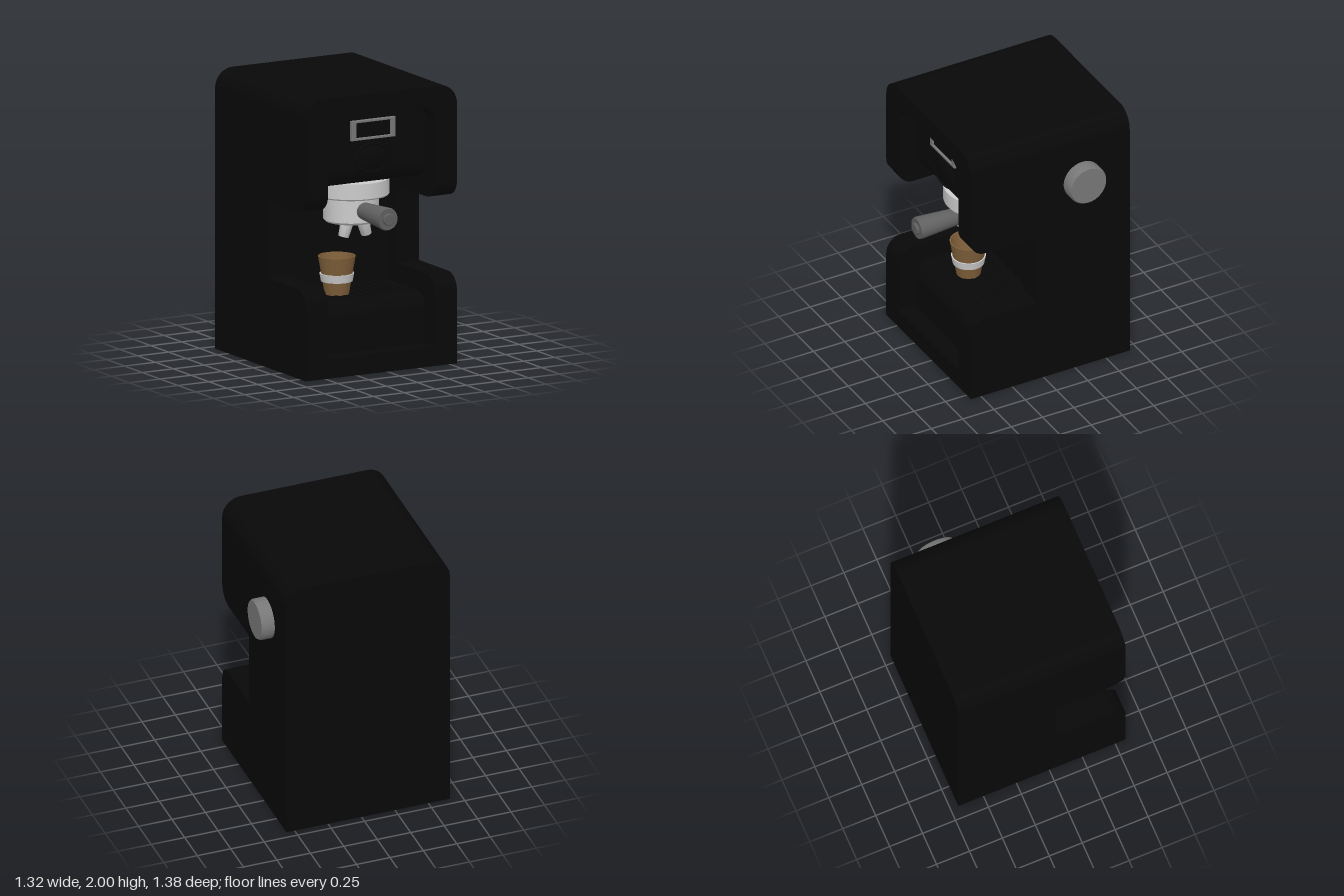
import * as THREE from 'three';
import { toCreasedNormals } from 'three/addons/utils/BufferGeometryUtils.js';
import { RoundedBoxGeometry } from 'three/addons/geometries/RoundedBoxGeometry.js';

const mat = (color, side = THREE.FrontSide) => new THREE.MeshStandardMaterial({ color, side });
const black = mat(0x080808);
const steel = mat(0xcccccc);
const grey = mat(0x777777);
const darkGrey = mat(0x606060);
const brown = mat(0x80603a, THREE.DoubleSide);

const BACK = -0.69, FRONT = 0.58, PANEL = 0.45;
const INNER = 0.43, OUTER = 0.61, TOP = 2, TOP_R = 0.14;

function part(parent, name, geometry, material, x = 0, y = 0, z = 0) {
  const mesh = new THREE.Mesh(geometry, material);
  mesh.name = name;
  mesh.position.set(x, y, z);
  parent.add(mesh);
  return mesh;
}

// Smooth turned part from [radius, height] points; edges stay sharp
function turned(points, segments = 48) {
  const profile = points.map(([r, y]) => new THREE.Vector2(r, y));
  return toCreasedNormals(new THREE.LatheGeometry(profile, segments), 0.6);
}

// C-shaped side profile (z, y) extruded along x from x0 to x1
function cProfile(front, notchBack, low, high, x0, x1, steps) {
  const r = 0.12;
  const s = new THREE.Shape();
  s.moveTo(BACK, 0);
  s.lineTo(front, 0);
  s.lineTo(front, low - r);
  s.absarc(front - r, low - r, r, 0, Math.PI / 2);
  s.lineTo(notchBack, low);
  s.lineTo(notchBack, high);
  s.lineTo(front - r, high);
  s.absarc(front - r, high + r, r, -Math.PI / 2, 0);
  s.lineTo(front, TOP);
  s.lineTo(BACK, TOP);
  const g = new THREE.ExtrudeGeometry(s, { depth: x1 - x0, steps, bevelEnabled: false, curveSegments: 12 });
  return g.rotateY(-Math.PI / 2).translate(x1, 0, 0);
}

// Round the top edge of a side wall towards its outer face
function roundTop(g) {
  const p = g.attributes.position;
  const w = OUTER - INNER;
  for (let i = 0; i < p.count; i++) {
    const u = (Math.abs(p.getX(i)) - INNER) / w;
    const d = w * Math.sin(u * Math.PI / 2);
    const over = Math.max(0, d - (w - TOP_R));
    const limit = TOP - TOP_R + Math.sqrt(Math.max(0, TOP_R * TOP_R - over * over));
    p.setX(i, Math.sign(p.getX(i)) * (INNER + d));
    p.setY(i, Math.min(p.getY(i), limit));
  }
  return toCreasedNormals(g, 0.6);
}

function buildBody() {
  const body = new THREE.Group();
  body.name = 'body';
  part(body, 'leftWall', roundTop(cProfile(FRONT, 0.05, 0.64, 1.19, INNER, OUTER, 14)), black);
  part(body, 'rightWall', roundTop(cProfile(FRONT, 0.05, 0.64, 1.19, -OUTER, -INNER, 14)), black);
  part(body, 'core', toCreasedNormals(cProfile(PANEL, -0.085, 0.5, 1.32, -INNER, INNER, 1), 0.6), black);

  // Frame around the recessed front: sill below, rounded lintel above
  part(body, 'sill', new THREE.BoxGeometry(2 * INNER, 0.14, FRONT - PANEL), black, 0, 0.07, (FRONT + PANEL) / 2);
  const r = 0.11, y = 1.86;
  const s = new THREE.Shape();
  s.moveTo(-INNER, TOP);
  s.lineTo(-INNER, y - r);
  s.absarc(-INNER + r, y - r, r, Math.PI, Math.PI / 2, true);
  s.absarc(INNER - r, y - r, r, Math.PI / 2, 0, true);
  s.lineTo(INNER, TOP);
  const lintel = new THREE.ExtrudeGeometry(s, { depth: FRONT - PANEL, bevelEnabled: false });
  part(body, 'lintel', toCreasedNormals(lintel, 0.6), black, 0, 0, PANEL);
  return body;
}

function rectPath(Type, w, h) {
  return new Type([[-w, -h], [w, -h], [w, h], [-w, h]].map(([x, y]) => new THREE.Vector2(x / 2, y / 2)));
}

function buildControls() {
  const controls = new THREE.Group();
  controls.name = 'controls';
  // Display with a raised frame
  const frame = rectPath(THREE.Shape, 0.345, 0.135);
  frame.holes.push(rectPath(THREE.Path, 0.285, 0.115));
  part(controls, 'displayFrame', new THREE.ExtrudeGeometry(frame, {
    depth: 0.02, bevelThickness: 0.004, bevelSize: 0.004, bevelSegments: 2,
  }), grey, 0, 1.72, PANEL);
  part(controls, 'displayScreen', new THREE.BoxGeometry(0.3, 0.125, 0.012), black, 0, 1.72, PANEL + 0.004);
  // Oval button and its ring
  const ring = part(controls, 'buttonRing', new THREE.TorusGeometry(0.13, 0.016, 12, 48), black, 0, 1.51, PANEL);
  ring.scale.y = 0.78;
  const button = part(controls, 'button',
    turned([[0, 0], [0.115, 0], [0.115, 0.008], [0.105, 0.014], [0, 0.014]]).rotateX(Math.PI / 2),
    black, 0, 1.51, PANEL);
  button.scale.y = 0.78;
  return controls;
}

function buildBrewHead() {
  const head = new THREE.Group();
  head.name = 'brewHead';
  head.position.z = 0.155;
  part(head, 'groupHead', turned([[0, 1.2], [0.262, 1.2], [0.27, 1.21], [0.27, 1.32], [0, 1.32]], 64), steel);
  part(head, 'filterBasket', turned([[0, 1.01], [0.18, 1.01], [0.195, 1.025], [0.195, 1.2], [0, 1.2]], 64), steel);
  part(head, 'handle',
    turned([[0, 0.15], [0.058, 0.15], [0.082, 0.505], [0.076, 0.52], [0.043, 0.52], [0.043, 0.535], [0.038, 0.54], [0, 0.54]], 32)
      .rotateX(Math.PI / 2), darkGrey, 0, 1.11, 0);
  // Pair of spouts leaning outwards
  for (const side of [-1, 1]) {
    const spout = part(head, side > 0 ? 'leftSpout' : 'rightSpout',
      turned([[0, -0.12], [0.034, -0.12], [0.038, -0.112], [0.05, 0.02], [0, 0.02]], 24),
      steel, side * 0.06, 1.025, 0.055);
    spout.rotation.z = side * 0.28;
  }
  return head;
}

function buildCup() {
  const cup = new THREE.Group();
  cup.name = 'cup';
  cup.position.set(-0.183, 0.505, 0.187);
  part(cup, 'cupShell', turned([[0, 0], [0.086, 0], [0.132, 0.272], [0.124, 0.272], [0.08, 0.015], [0, 0.015]]), brown);
  part(cup, 'cupSleeve', turned([[0.1, 0.093], [0.112, 0.093], [0.122, 0.15], [0.108, 0.15]]), mat(0xcccccc, THREE.DoubleSide));
  return cup;
}

function buildDripGrate() {
  const grate = new THREE.Group();
  grate.name = 'dripGrate';
  grate.position.set(0, 0.5, 0.13);
  for (const side of [-1, 1]) {
    part(grate, 'grateSide', new THREE.BoxGeometry(0.03, 0.01, 0.36), black, side * 0.36, 0.003, 0);
    part(grate, 'grateEnd', new THREE.BoxGeometry(0.69, 0.01, 0.03), black, 0, 0.003, side * 0.165);
  }
  for (let i = -5; i <= 5; i++) {
    part(grate, 'grateBar', new THREE.BoxGeometry(0.025, 0.01, 0.3), black, i * 0.06, 0.003, 0);
  }
  return grate;
}

export function createModel() {
  const model = new THREE.Group();
  model.name = 'coffeeMachine';
  const machine = new THREE.Group();
  machine.name = 'machine';
  machine.position.x = -0.05;
  machine.add(buildBody(), buildControls(), buildBrewHead(), buildDripGrate());
  // Side knob
  part(machine, 'sideKnob',
    turned([[0, 0], [0.148, 0], [0.148, 0.08], [0.138, 0.095], [0, 0.095]], 64).rotateZ(-Math.PI / 2),
    grey, OUTER, 1.56, -0.31);
  model.add(machine, buildCup());
  return model;
}
